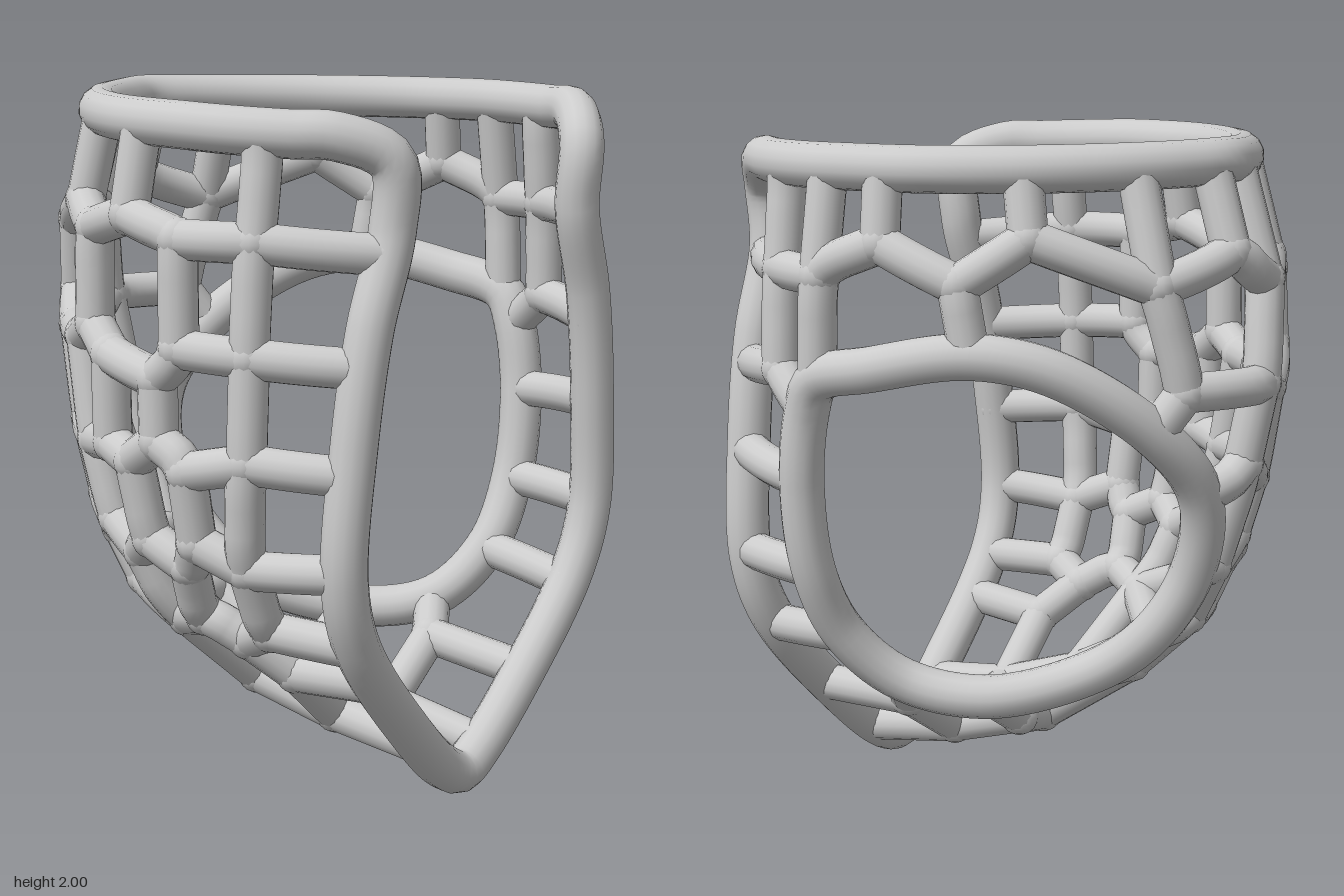
import * as THREE from 'three';

const material = new THREE.MeshStandardMaterial({ color: 0xcccccc });
const RIM = 0.064, STRUT = 0.055;

// Profiles of the shell by height: [y, value]
const WIDTH = [[0.06, 0.02], [0.17, 0.17], [0.37, 0.39], [0.6, 0.59], [0.8, 0.68], [1, 0.715], [1.6, 0.722], [1.93, 0.67]];
const BACK = [[0.06, 0.6], [0.12, 0.4], [0.24, 0.02], [0.4, -0.24], [0.6, -0.46], [0.8, -0.57], [1.05, -0.65], [1.35, -0.71], [1.6, -0.7], [1.93, -0.595]];
const FRONT_X = [[0.07, 0], [0.1, 0.08], [0.25, 0.25], [0.55, 0.51], [0.75, 0.58], [1.1, 0.56], [1.4, 0.51], [1.65, 0.43], [1.85, 0.44], [1.93, 0.48]];
const FRONT_Z = [[0.06, 0.62], [0.8, 0.67], [1.8, 0.705]];

function at(profile, y) {
  if (y <= profile[0][0]) return profile[0][1];
  for (let i = 1; i < profile.length; i++) {
    const [y0, v0] = profile[i - 1], [y1, v1] = profile[i];
    if (y <= y1) return v0 + (v1 - v0) * (y - y0) / (y1 - y0);
  }
  return profile[profile.length - 1][1];
}

// Point on the shell: t = 0 mid back, +-1 widest, +-2 front edge
function shell([t, y]) {
  const u = Math.abs(t), w = at(WIDTH, y), zb = at(BACK, y), ze = at(FRONT_Z, y);
  const zc = Math.max(0.2, (zb + ze) / 2);
  let x, z;
  if (u <= 1) {
    const a = u * Math.PI / 2;
    x = w * Math.sin(a) ** 1.4;
    z = zc - (zc - zb) * Math.cos(a);
  } else {
    const s = u - 1;
    x = w - (w - at(FRONT_X, y)) * s * s;
    z = zc + (ze - zc) * s;
  }
  return new THREE.Vector3(Math.sign(t) * x, y, z);
}

function tube(name, points, radius, closed, segments) {
  const curve = new THREE.CatmullRomCurve3(points, closed, 'centripetal');
  const mesh = new THREE.Mesh(new THREE.TubeGeometry(curve, segments, radius, 14, closed), material);
  mesh.name = name;
  return mesh;
}

// Lattice joints: [t, y] on the shell, or [x, y, z] on the underside (F, G, H and rim feet K);
// R is the ring round the side opening
const NODES = {
  R: [[0.9, 1.39], [0.7, 1.44], [0.55, 1.4], [0.33, 1.22], [0.17, 1.03], [0.11, 0.8], [0.16, 0.6], [0.27, 0.46],
    [0.62, 0.38], [1, 0.42], [1.24, 0.57], [1.28, 0.78], [1.27, 1.05], [1.2, 1.25], [1.1, 1.34]],
  A: [[2, 1.63], [1.46, 1.63], [1.07, 1.63], [0.88, 1.73], [0.72, 1.63], [0.58, 1.75], [0.33, 1.62], [0.09, 1.7],
    [-0.17, 1.61], [-0.34, 1.65], [-0.42, 1.6], [-0.6, 1.68], [-0.72, 1.62], [-0.86, 1.67], [-1.03, 1.62], [-1.46, 1.62], [-2, 1.59]],
  B: [[2, 1.32], [1.46, 1.35], [0.27, 1.33], [-0.11, 1.33], [-0.22, 1.3], [-0.38, 1.39], [-0.48, 1.3], [-0.63, 1.3],
    [-0.72, 1.35], [-0.79, 1.28], [-0.95, 1.24], [-1.03, 1.33], [-1.46, 1.32], [-2, 1.3]],
  C: [[2, 1.07], [-0.08, 1.1], [-0.25, 1.03], [-0.48, 1.03], [-0.65, 1.01], [-0.77, 1.03], [-0.86, 1], [-0.95, 1.07],
    [-1.07, 1], [-1.46, 1.04], [-2, 1.02]],
  D: [[2, 0.77], [-0.05, 0.8], [-0.22, 0.86], [-0.38, 0.74], [-0.5, 0.82], [-0.6, 0.74], [-0.67, 0.79], [-0.78, 0.72],
    [-0.87, 0.78], [-0.98, 0.72], [-1.08, 0.8], [-1.4, 0.74], [-2, 0.76]],
  E: [[2, 0.53], [-0.1, 0.63], [-0.3, 0.62], [-0.5, 0.57], [-0.62, 0.6], [-0.8, 0.52], [-0.95, 0.56], [-1.15, 0.5],
    [-1.4, 0.55], [-2, 0.54]],
  F: [[-0.02, 0.46, -0.29], [-0.22, 0.47, -0.23]],
  G: [[0.17, 0.29, -0.02], [0.02, 0.255, 0.01], [-0.25, 0.31, 0.08]],
  H: [[0.33, 0.33, 0.27], [0.1, 0.18, 0.29], [-0.2, 0.23, 0.33], [-0.41, 0.4, 0.36]],
  K: [[0.3, 0.3, 0.63], [0.11, 0.12, 0.62], [-0.19, 0.19, 0.63], [-0.41, 0.42, 0.64]],
};

// Runs of joints: horizontal courses, then uprights
const COURSES = ['A0 A1 A2 A3 A4 A5 A6 A7 A8 A9 A10 A11 A12 A13 A14 A15 A16', 'B0 B1 R13',
  'R3 B2 B3 B4 B5 B6 B7 B8 B9 B10 B11 B12 B13', 'C0 R12', 'R4 C1 C2 C3 C4 C5 C6 C7 C8 C9 C10', 'D0 R11',
  'R5 D1 D2 D3 D4 D5 D6 D7 D8 D9 D10 D11 D12', 'E0 R10', 'R6 E1 E2 E3 E4 E5 E6 E7 E8 E9',
  'R7 F0 F1 E5', 'R8 G0 G1 G2 E5', 'R9 H0 H1 H2 H3 E7'];
const UPRIGHTS = ['A1 B1', 'A2 R14', 'A4 R1', 'A6 B2', 'A8 B3', 'A10 B5', 'A12 B8', 'A14 B11', 'A15 B12',
  'B3 C1', 'B4 C2', 'B6 C3', 'B7 C4', 'B9 C5', 'B10 C7', 'B12 C9',
  'C1 D1', 'C2 D2', 'C3 D4', 'C4 D6', 'C6 D8', 'C8 D10', 'C9 D11',
  'D1 E1', 'D3 E2', 'D5 E4', 'D7 E5', 'D9 E6', 'D11 E8', 'E1 F0', 'E3 F1',
  'F0 G1', 'F1 G2', 'G1 H1', 'G2 H2', 'H0 K0', 'H1 K1', 'H2 K2', 'H3 K3'];
const TO_RIM = [1, 2, 3, 5, 6, 7, 8, 9, 11, 13, 15];

const node = (key) => NODES[key[0]][Number(key.slice(1))];
const place = (n) => (n.length === 3 ? new THREE.Vector3(...n) : shell(n));
const rimHeight = (t) => 1.938 - 0.012 * Math.abs(t) - (t < 0 ? 0.012 * -t : 0);

export function createModel() {
  const model = new THREE.Group();

  // Thick edge: top from side to side, then down both front edges to the tip
  const top = [], left = [], right = [];
  for (let t = -1.8; t <= 1.81; t += 0.2) top.push(shell([t, rimHeight(t)]));
  for (const y of [1.83, 1.65, 1.4, 1.1, 0.75, 0.55, 0.25, 0.1]) {
    left.push(shell([2, y]));
    right.unshift(shell([-2, y]));
  }
  const tip = new THREE.Vector3(0, 0.066, 0.625);
  model.add(tube('edgeRim', [...top, ...left, tip, ...right], RIM, true, 260));

  // Ring round the side opening
  model.add(tube('sideOpeningRing', NODES.R.map(shell), RIM, true, 120));

  // Lattice of struts: they follow the shell, and run straight on the underside
  const lattice = new THREE.Group();
  lattice.name = 'lattice';
  model.add(lattice);
  const addStrut = (a, b, name) => {
    const onShell = a.length === 2 && b.length === 2;
    const points = onShell
      ? [0, 0.25, 0.5, 0.75, 1].map((k) => shell([a[0] + (b[0] - a[0]) * k, a[1] + (b[1] - a[1]) * k]))
      : [place(a), place(b)];
    lattice.add(tube(name, points, STRUT, false, 8));
  };
  const addRun = (run, name) => {
    const keys = run.split(' ');
    for (let i = 1; i < keys.length; i++) addStrut(node(keys[i - 1]), node(keys[i]), name);
  };
  COURSES.forEach((run) => addRun(run, 'crossStrut'));
  UPRIGHTS.forEach((run) => addRun(run, 'uprightStrut'));
  for (const i of TO_RIM) {
    const [t, y] = NODES.A[i];
    addStrut([t, y], [t, rimHeight(t)], 'rimStrut');
  }

  // Rounded joints where struts meet
  const ball = new THREE.SphereGeometry(STRUT * 1.08, 14, 10);
  for (const row of 'ABCDEFGH') {
    for (const n of NODES[row]) {
      const joint = new THREE.Mesh(ball, material);
      joint.name = 'joint';
      joint.position.copy(place(n));
      lattice.add(joint);
    }
  }
  return model;
}
